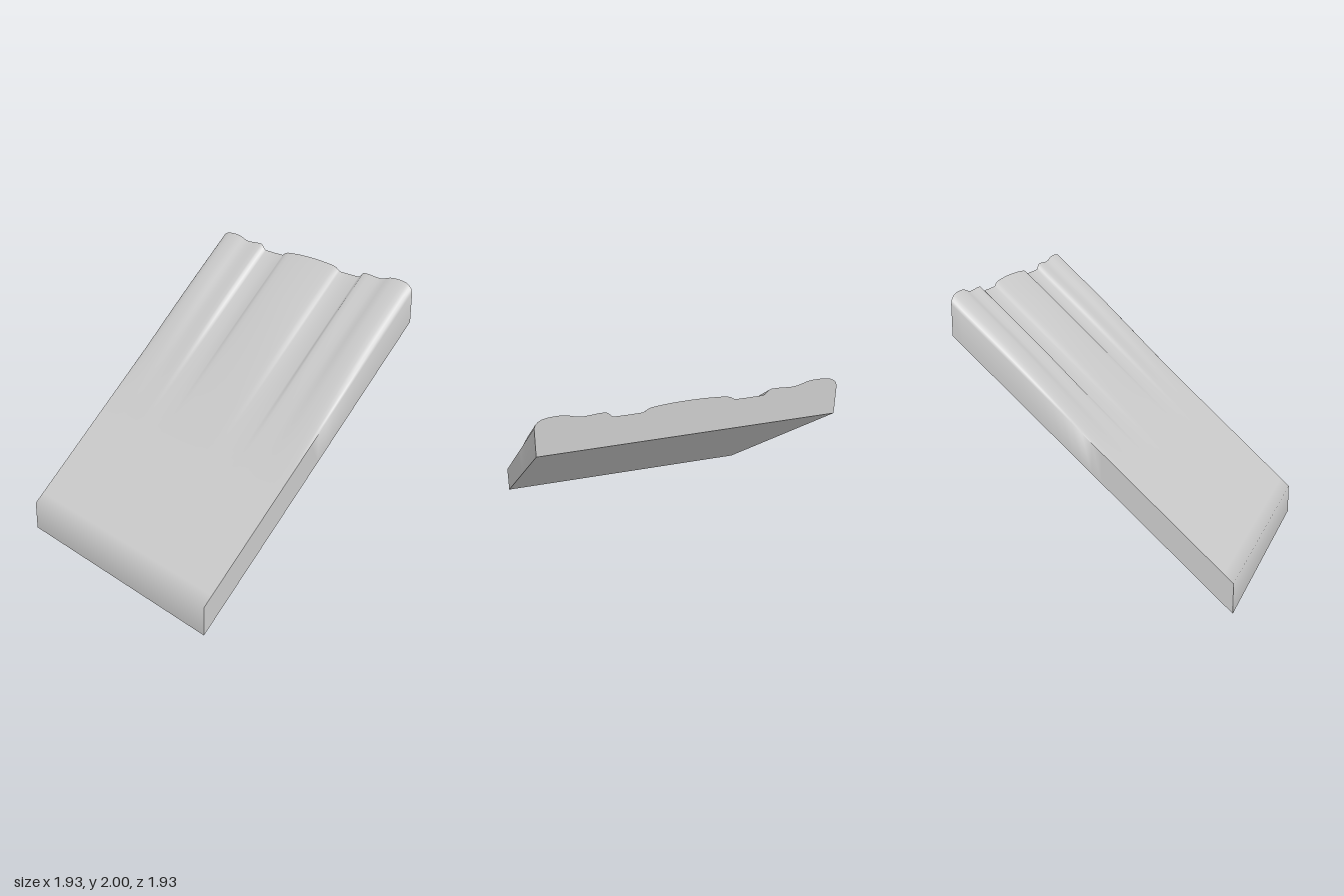
import * as THREE from 'three';
import { toCreasedNormals } from 'three/addons/utils/BufferGeometryUtils.js';

const HALF = 0.967, RISE = 1.72, THICK = 0.213;

// half of the ridge cross-section: [z, height above the flat slab]
const HALF_PROFILE = [
  [0.967, 0], [0.958, 0.026], [0.943, 0.042], [0.92, 0.056], [0.885, 0.064], [0.85, 0.067],
  [0.8, 0.067], [0.765, 0.062], [0.735, 0.052], [0.705, 0.042], [0.67, 0.037], [0.62, 0.04],
  [0.57, 0.044], [0.53, 0.044], [0.515, 0.038], [0.5, 0.022], [0.487, 0.009], [0.475, 0.004],
  [0.38, 0.003], [0.295, 0.004], [0.28, 0.012], [0.265, 0.024], [0.24, 0.033], [0.2, 0.038],
  [0.1, 0.045], [0, 0.047],
];
const PROFILE = [
  ...HALF_PROFILE,
  ...HALF_PROFILE.slice(0, -1).reverse().map(([z, h]) => [-z, h]),
];

const bottomY = (x) => ((x + HALF) / (2 * HALF)) * RISE;
// ridges swell out of the flat slab towards the high end
const swell = (x) => THREE.MathUtils.smoothstep(x, -0.28, 0.68);
const topPoint = (x, [z, h]) => [x, bottomY(x) + THICK + h * swell(x), z];
const lowPoint = (x, z) => [x, bottomY(x), z];

// surface through rows of points
function sheet(rows) {
  const n = rows[0].length, index = [];
  for (let i = 0; i < rows.length - 1; i++) {
    for (let j = 0; j < n - 1; j++) {
      const a = i * n + j, b = a + n;
      index.push(a, b, a + 1, b, b + 1, a + 1);
    }
  }
  const g = new THREE.BufferGeometry();
  g.setAttribute('position', new THREE.Float32BufferAttribute(rows.flat(2), 3));
  g.setIndex(index);
  return toCreasedNormals(g, THREE.MathUtils.degToRad(60));
}

export function createModel() {
  const grey = new THREE.MeshStandardMaterial({ color: 0xcccccc });
  grey.name = 'grey';
  const group = new THREE.Group();
  group.name = 'ridgedRamp';
  const add = (name, rows) => {
    const mesh = new THREE.Mesh(sheet(rows), grey);
    mesh.name = name;
    group.add(mesh);
  };

  // low end, side walls and ridged top as one skin
  const skin = [PROFILE.map(([z]) => lowPoint(-HALF, z))];
  skin[0].unshift(lowPoint(-HALF, HALF));
  skin[0].push(lowPoint(-HALF, -HALF));
  const steps = 28;
  for (let i = 0; i <= steps; i++) {
    const x = -HALF + (2 * HALF * i) / steps;
    skin.push([lowPoint(x, HALF), ...PROFILE.map((p) => topPoint(x, p)), lowPoint(x, -HALF)]);
  }
  add('ridgedTop', skin);

  // upright face at the high end
  add('highEnd', [
    PROFILE.map((p) => topPoint(HALF, p)),
    PROFILE.map(([z]) => lowPoint(HALF, z)),
  ]);

  // flat sloping underside
  add('underside', [HALF, -HALF].map((x) => [lowPoint(x, HALF), lowPoint(x, -HALF)]));

  return group;
}
